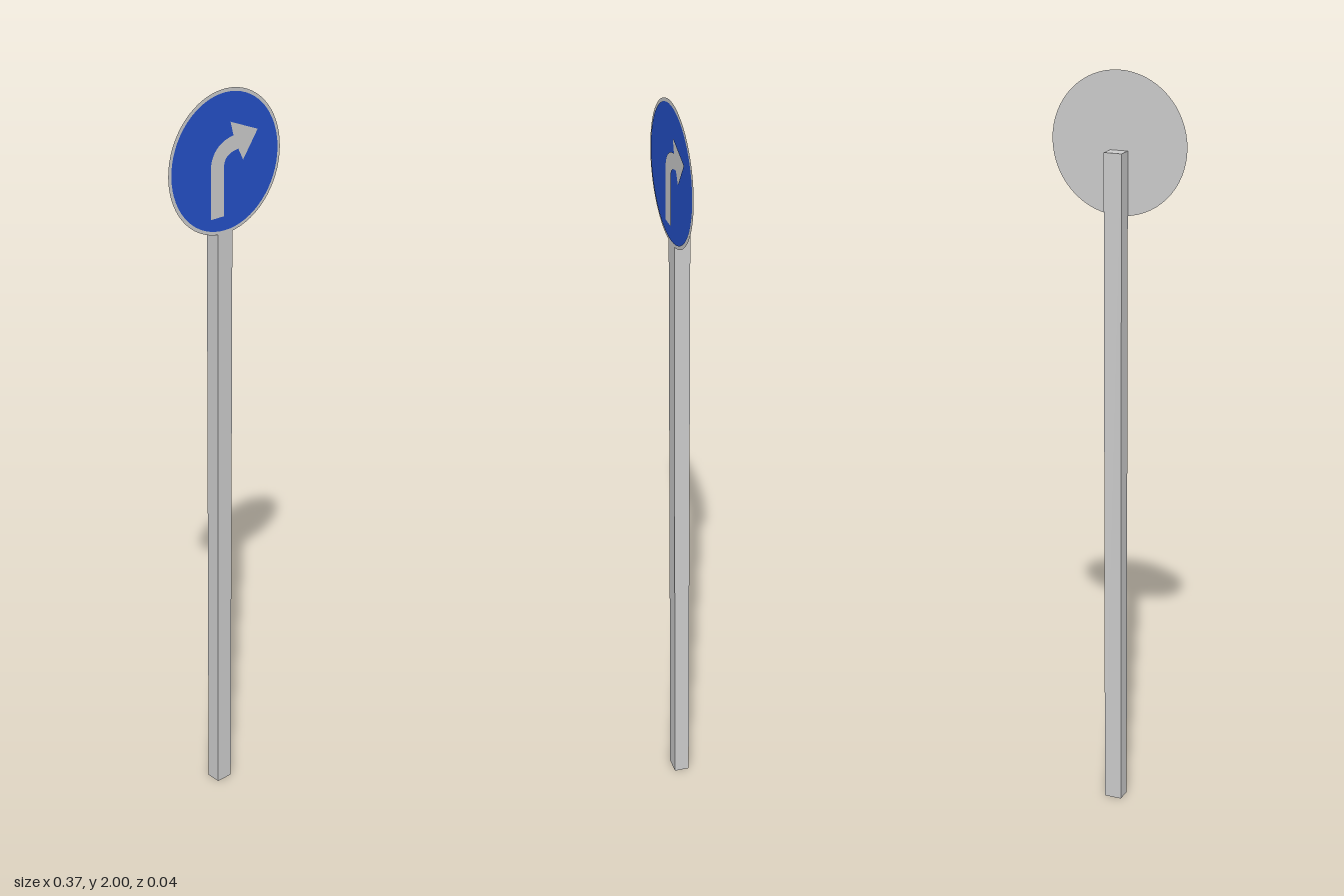
import * as THREE from 'three';

const RADIUS = 0.183;
const SIGN_Y = 2 - RADIUS;

export function createModel() {
  const model = new THREE.Group();
  const grey = new THREE.MeshStandardMaterial({ color: 0xcccccc });
  const greyThin = new THREE.MeshStandardMaterial({ color: 0xcccccc, side: THREE.DoubleSide });
  const blue = new THREE.MeshStandardMaterial({ color: 0x2450c8 });

  const add = (name, geometry, material, y, z) => {
    const mesh = new THREE.Mesh(geometry, material);
    mesh.name = name;
    mesh.position.set(0, y, z);
    model.add(mesh);
  };

  // Square post, its top hidden behind the sign
  add('post', new THREE.BoxGeometry(0.048, 1.8, 0.041), grey, 0.9, -0.0005);

  // Thin round plate: forms the back, the rim and the arrow colour
  add('signPlate', new THREE.CircleGeometry(RADIUS, 64), greyThin, SIGN_Y, 0.02);

  // Turn-right arrow, cut out of the blue face
  const arrow = new THREE.Path();
  arrow.moveTo(-0.048, -0.137);
  arrow.lineTo(-0.048, -0.013);
  arrow.bezierCurveTo(-0.048, 0.03, -0.02, 0.056, 0.026, 0.062);
  arrow.lineTo(0.016, 0.098);
  arrow.lineTo(0.106, 0.062);
  arrow.lineTo(0.058, -0.006);
  arrow.lineTo(0.042, 0.025);
  arrow.bezierCurveTo(0.012, 0.022, -0.005, 0.012, -0.005, -0.013);
  arrow.lineTo(-0.005, -0.137);
  arrow.closePath();

  // Blue face
  const face = new THREE.Shape();
  face.absarc(0, 0, 0.174, 0, Math.PI * 2, false);
  face.holes.push(arrow);
  add('signFace', new THREE.ShapeGeometry(face, 32), blue, SIGN_Y, 0.021);

  return model;
}
